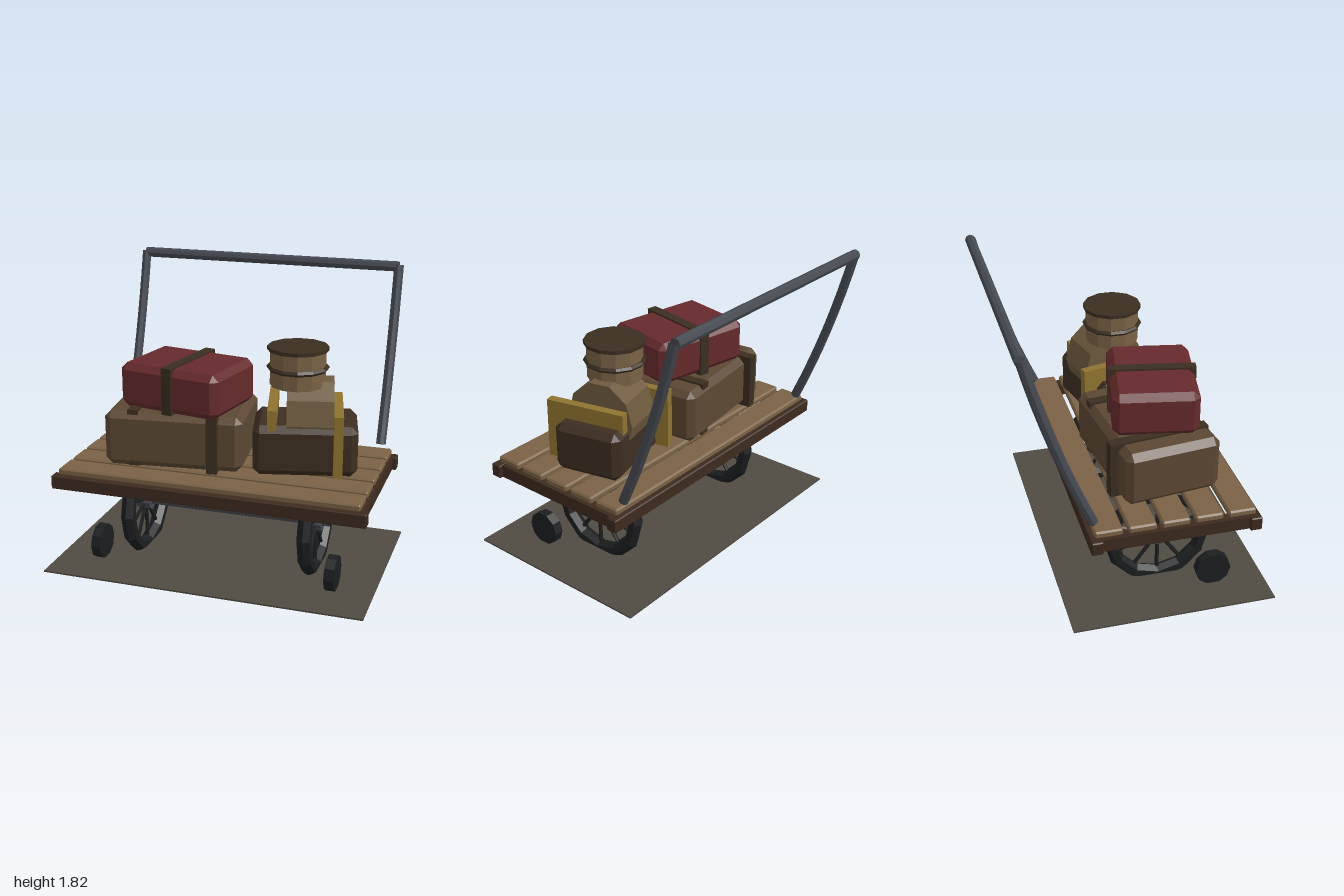
import * as THREE from 'three';
import { ConvexGeometry } from 'three/addons/geometries/ConvexGeometry.js';

const mat = (color) => new THREE.MeshStandardMaterial({ color, flatShading: true });
const M = {
  wood: mat(0x7a6245), frame: mat(0x3d2a1f), metal: mat(0x454950), iron: mat(0x1c1e20),
  brown: mat(0x5c4833), red: mat(0x662a2c), strap: mat(0x3a2e20), dark: mat(0x3d2e20),
  yellow: mat(0x8f742f), sack: mat(0x6e5a3e), basket: mat(0x7a6245), ground: mat(0x4f4a42),
};

// Box with every edge chamfered by b
function chamferBox(w, h, d, b) {
  const pts = [];
  for (const x of [-1, 1]) for (const y of [-1, 1]) for (const z of [-1, 1]) {
    const [X, Y, Z] = [w / 2, h / 2, d / 2];
    pts.push(new THREE.Vector3(x * X, y * (Y - b), z * (Z - b)));
    pts.push(new THREE.Vector3(x * (X - b), y * Y, z * (Z - b)));
    pts.push(new THREE.Vector3(x * (X - b), y * (Y - b), z * Z));
  }
  return new ConvexGeometry(pts);
}

// Cylinder lying along x
const rod = (r, len, sides) => new THREE.CylinderGeometry(r, r, len, sides).rotateZ(Math.PI / 2);

export function createModel() {
  const model = new THREE.Group();
  const add = (name, geo, material, x, y, z, ry = 0, parent = model) => {
    const mesh = new THREE.Mesh(geo, material);
    mesh.name = name;
    mesh.position.set(x, y, z);
    mesh.rotation.y = ry;
    parent.add(mesh);
    return mesh;
  };

  add('groundPlate', new THREE.BoxGeometry(2, 0.01, 1.25), M.ground, 0, 0.06, 0.125);

  // Deck: frame beams and five planks
  for (const s of [-1, 1]) {
    add('longBeam', chamferBox(1.95, 0.085, 0.07, 0.006), M.frame, 0, 0.613, 0.13 + s * 0.475);
    add('endBeam', new THREE.BoxGeometry(0.07, 0.08, 0.9), M.frame, s * 0.915, 0.613, 0.13);
  }
  for (let i = -2; i <= 2; i++) {
    add('plank', chamferBox(1.87, 0.045, 0.168, 0.01), M.wood, 0, 0.677, 0.13 + i * 0.2);
  }

  // Spoked wheels, small front wheels and axle
  add('axle', rod(0.027, 1.25, 8), M.metal, 0, 0.35, 0.13);
  for (const s of [-1, 1]) {
    const wheel = new THREE.Group();
    wheel.name = 'spokedWheel';
    wheel.position.set(s * 0.565, 0.35, 0.13);
    model.add(wheel);
    add('rim', new THREE.TorusGeometry(0.295, 0.046, 6, 12).rotateY(Math.PI / 2), M.iron, 0, 0, 0, 0, wheel);
    add('hub', rod(0.06, 0.09, 8), M.metal, 0, 0, 0, 0, wheel);
    for (let i = 0; i < 10; i++) {
      const spoke = new THREE.CylinderGeometry(0.013, 0.013, 0.25, 5).translate(0, 0.155, 0);
      add('spoke', spoke.rotateX(i * Math.PI / 5), M.iron, 0, 0, 0, 0, wheel);
    }
    add('smallWheel', rod(0.11, 0.06, 10), M.iron, s * 0.745, 0.165, 0.43);
  }

  // Push handle: two curved uprights and a crossbar
  for (const s of [-1, 1]) {
    const curve = new THREE.QuadraticBezierCurve3(
      new THREE.Vector3(s * 0.865, 0.725, -0.345),
      new THREE.Vector3(s * 0.865, 1.25, -0.58),
      new THREE.Vector3(s * 0.865, 1.81, -0.718));
    add('handleUpright', new THREE.TubeGeometry(curve, 8, 0.031, 8), M.metal, 0, 0, 0);
    // End cap at the foot of the upright
    const cap = add('uprightCap', new THREE.CircleGeometry(0.031, 8), M.metal, s * 0.865, 0.725, -0.345);
    cap.lookAt(s * 0.865, 0.2, -0.11);
  }
  add('handleBar', rod(0.033, 1.73, 8), M.metal, 0, 1.8, -0.72);

  // Large brown suitcase with two straps
  add('largeCase', chamferBox(0.85, 0.345, 0.595, 0.04), M.brown, -0.3, 0.873, 0.13, 0.12);
  for (const x of [-0.55, -0.05]) {
    add('largeCaseStrap', new THREE.BoxGeometry(0.065, 0.355, 0.62), M.strap, x, 0.88, 0.125, 0.12);
  }

  // Red suitcase on top
  add('redCase', chamferBox(0.675, 0.275, 0.51, 0.04), M.red, -0.25, 1.186, 0.17, -0.19);
  add('redCaseStrap', new THREE.BoxGeometry(0.065, 0.29, 0.53), M.strap, -0.245, 1.19, 0.17, -0.19);

  // Dark trunk with yellow straps
  add('trunk', chamferBox(0.625, 0.31, 0.43, 0.04), M.dark, 0.48, 0.857, 0.1, 0.24);
  for (const x of [0.275, 0.68]) {
    add('trunkStrap', new THREE.BoxGeometry(0.055, 0.375, 0.505), M.yellow, x, 0.922, 0.1, 0.24);
  }

  // Bedroll lying on the trunk
  add('bedroll', rod(0.25, 0.28, 10).scale(1, 1, 0.86), M.sack, 0.5, 1.01, 0.07, 0.24);

  // Round hat box with band and lid
  add('hatBox', new THREE.CylinderGeometry(0.168, 0.168, 0.225, 12), M.basket, 0.425, 1.325, 0.1, 0.24);
  add('hatBoxBand', new THREE.TorusGeometry(0.174, 0.016, 5, 12).rotateX(Math.PI / 2), M.strap, 0.425, 1.322, 0.1, 0.24);
  add('hatBoxLid', new THREE.CylinderGeometry(0.185, 0.185, 0.022, 12), M.strap, 0.425, 1.439, 0.1, 0.24);

  return model;
}
